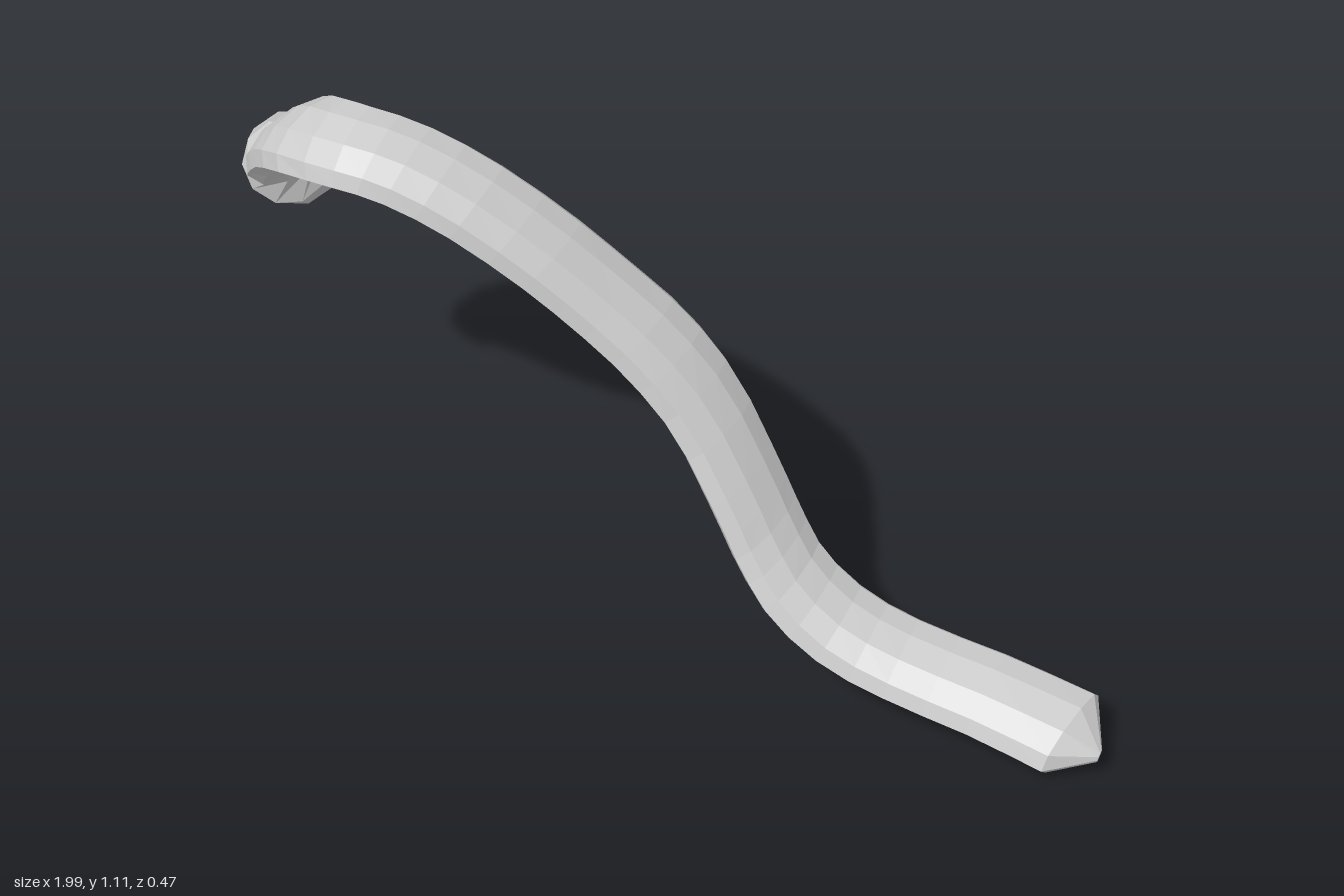
import * as THREE from 'three';

const SIDES = 10;
const RINGS = 34;
const v = (p) => new THREE.Vector3(...p);
const station = ([c, w, t, axis]) => ({ c: v(c), w: v(w), t, axis: axis && v(axis) });

// Tube stations: centre, half-width vector, half thickness
const tube = [
  [[0.925, 0.058, 0.13], [-0.025, -0.022, 0.103], 0.052],
  [[0.75, 0.083, 0.112], [-0.01, -0.025, 0.1], 0.049],
  [[0.57, 0.108, 0.105], [-0.005, -0.025, 0.098], 0.048],
  [[0.435, 0.15, 0.1], [-0.01, -0.025, 0.098], 0.049],
  [[0.325, 0.225, 0.087], [-0.015, -0.022, 0.1], 0.05],
  [[0.255, 0.315, 0.065], [-0.02, -0.02, 0.1], 0.05],
  [[0.205, 0.4, 0.05], [-0.022, -0.015, 0.1], 0.049],
  [[0.1, 0.565, 0.024], [-0.022, -0.018, 0.1], 0.048],
  [[0, 0.685, 0.028], [-0.022, -0.022, 0.098], 0.047],
  [[-0.115, 0.79, 0.045], [-0.02, -0.022, 0.096], 0.047],
  [[-0.23, 0.89, 0.07], [-0.018, -0.024, 0.096], 0.047],
  [[-0.375, 0.988, 0.097], [-0.012, -0.026, 0.098], 0.048],
  [[-0.5, 1.041, 0.115], [-0.005, -0.028, 0.1], 0.049],
  [[-0.6, 1.058, 0.125], [0, -0.03, 0.1], 0.049],
  [[-0.71, 1.028, 0.08], [-0.03, -0.03, 0.098], 0.05],
  [[-0.78, 0.967, 0.017], [-0.047, -0.032, 0.083], 0.051],
  [[-0.83, 0.9, -0.035], [-0.055, -0.04, 0.067], 0.052],
  [[-0.852, 0.855, -0.073], [-0.06, -0.038, 0.056], 0.056],
].map(station);

// Pointed tip and flared socket
const tip = station([[0.995, 0.046, 0.157], [0, 0, 0.014], 0.012]);
const socketAxis = [-0.3, -0.45, -0.84];
const socket = [
  [[-0.87, 0.81, -0.1], [-0.084, -0.008, 0.032], 0.088, socketAxis],
  [[-0.9, 0.757, -0.187], [-0.096, 0, 0.034], 0.1, socketAxis],
].map(station);

// Smoothly resamples the tube stations
function resample(list, count) {
  const centres = new THREE.CatmullRomCurve3(list.map((s) => s.c));
  const widths = new THREE.CatmullRomCurve3(list.map((s) => s.w));
  return Array.from({ length: count }, (_, i) => {
    const u = i / (count - 1);
    const k = Math.min(Math.floor(u * (list.length - 1)), list.length - 2);
    const t = THREE.MathUtils.lerp(list[k].t, list[k + 1].t, u * (list.length - 1) - k);
    return { c: centres.getPoint(u), w: widths.getPoint(u), t };
  });
}

// Skins the elliptical cross-sections; the first ring is closed by a fan
function loft(list) {
  const pos = [];
  const idx = [];
  list.forEach(({ c, w, t, axis }, i) => {
    const before = list[Math.max(i - 1, 0)].c;
    const after = list[Math.min(i + 1, list.length - 1)].c;
    const along = axis ?? after.clone().sub(before);
    const n = along.clone().cross(w).normalize().multiplyScalar(t);
    for (let j = 0; j < SIDES; j++) {
      const a = (j / SIDES) * Math.PI * 2;
      const p = c.clone().addScaledVector(w, Math.cos(a)).addScaledVector(n, Math.sin(a));
      pos.push(p.x, p.y, p.z);
    }
  });
  for (let i = 0; i < list.length - 1; i++) {
    for (let j = 0; j < SIDES; j++) {
      const a = i * SIDES + j;
      const b = i * SIDES + ((j + 1) % SIDES);
      idx.push(a, b, b + SIDES, a, b + SIDES, a + SIDES);
    }
  }
  for (let j = 1; j < SIDES - 1; j++) idx.push(0, j + 1, j);
  const g = new THREE.BufferGeometry();
  g.setAttribute('position', new THREE.Float32BufferAttribute(pos, 3));
  g.setIndex(idx);
  g.computeVertexNormals();
  return g;
}

export function createModel() {
  const group = new THREE.Group();
  group.name = 'curvedLimb';
  const material = new THREE.MeshStandardMaterial({
    color: 0xcccccc, flatShading: true, side: THREE.DoubleSide,
  });
  // Curved flattened tube from the tip to the open socket
  const limb = new THREE.Mesh(loft([tip, ...resample(tube, RINGS), ...socket]), material);
  limb.name = 'flattenedTube';
  group.add(limb);
  return group;
}
